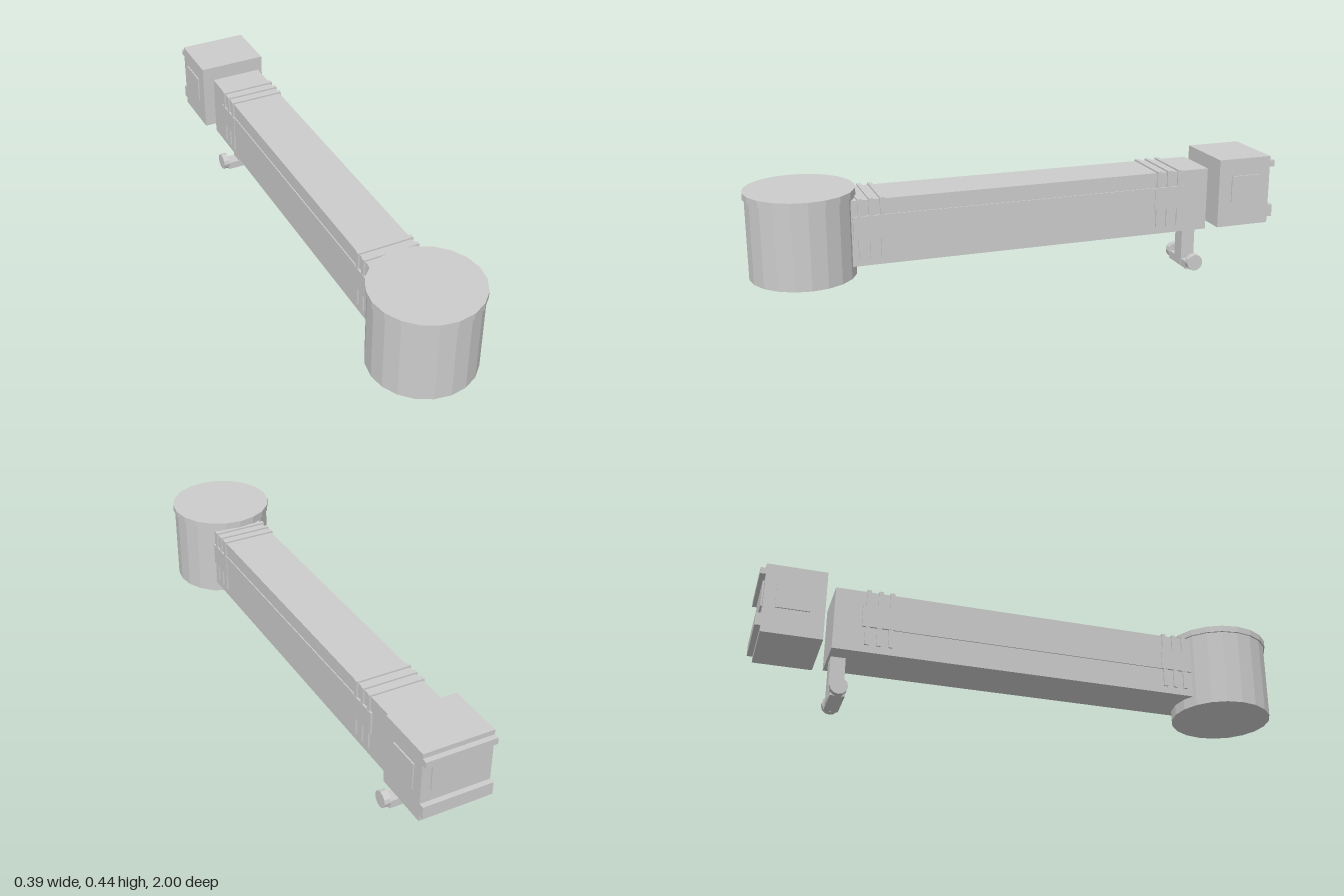
import * as THREE from 'three';

export function createModel() {
  const model = new THREE.Group();
  model.name = 'boardingBridge';
  const grey = new THREE.MeshStandardMaterial({ color: 0xcccccc, flatShading: true });
  grey.name = 'light grey';

  const add = (name, geometry, x, y, z) => {
    const mesh = new THREE.Mesh(geometry, grey);
    mesh.name = name;
    mesh.position.set(x, y, z);
    model.add(mesh);
    return mesh;
  };
  // Box given by its limits on each axis
  const box = (name, x0, x1, y0, y1, z0, z1) =>
    add(name, new THREE.BoxGeometry(x1 - x0, y1 - y0, z1 - z0),
      (x0 + x1) / 2, (y0 + y1) / 2, (z0 + z1) / 2);

  // Round terminal-end hub with its overhanging roof
  add('rotunda', new THREE.CylinderGeometry(0.189, 0.189, 0.295, 20), 0, 0.2775, 0.805);
  add('rotundaRoof', new THREE.CylinderGeometry(0.195, 0.195, 0.024, 20), 0, 0.433, 0.805);

  // Tunnel with a raised band along each side
  box('tunnel', -0.098, 0.098, 0.17, 0.409, -0.73, 0.68);
  box('sideBand', -0.102, 0.102, 0.268, 0.352, -0.63, 0.64);

  // Ribs over the roof and sides, three at each end
  for (const z of [0.615, 0.575, 0.535, -0.525, -0.567, -0.61]) {
    box('rib', -0.104, 0.104, 0.198, 0.415, z - 0.008, z + 0.008);
  }
  // Joints linking the ribs on the sides
  for (const [z0, z1] of [[0.52, 0.64], [-0.63, -0.51]]) {
    box('ribJoint', -0.105, 0.105, 0.268, 0.352, z0, z1);
  }

  // Aircraft-end cab with bumpers and raised window panels
  box('cab', -0.13, 0.13, 0.18, 0.445, -0.98, -0.765);
  box('upperBumper', -0.13, 0.13, 0.403, 0.427, -1, -0.98);
  box('lowerBumper', -0.13, 0.13, 0.203, 0.25, -1, -0.98);
  box('rearWindow', -0.095, 0.095, 0.295, 0.395, -0.986, -0.98);
  for (const s of [-1, 1]) {
    add('sideWindow', new THREE.BoxGeometry(0.006, 0.1, 0.12), s * 0.132, 0.328, -0.878);
  }

  // Support column, axle and wheels
  box('supportColumn', -0.028, 0.028, 0.009, 0.172, -0.722, -0.668);
  box('axle', -0.074, 0.074, 0.002, 0.032, -0.721, -0.669);
  for (const s of [-1, 1]) {
    const wheel = add('wheel', new THREE.CylinderGeometry(0.032, 0.032, 0.024, 12), s * 0.084, 0.032, -0.695);
    wheel.rotation.z = Math.PI / 2;
  }
  return model;
}
